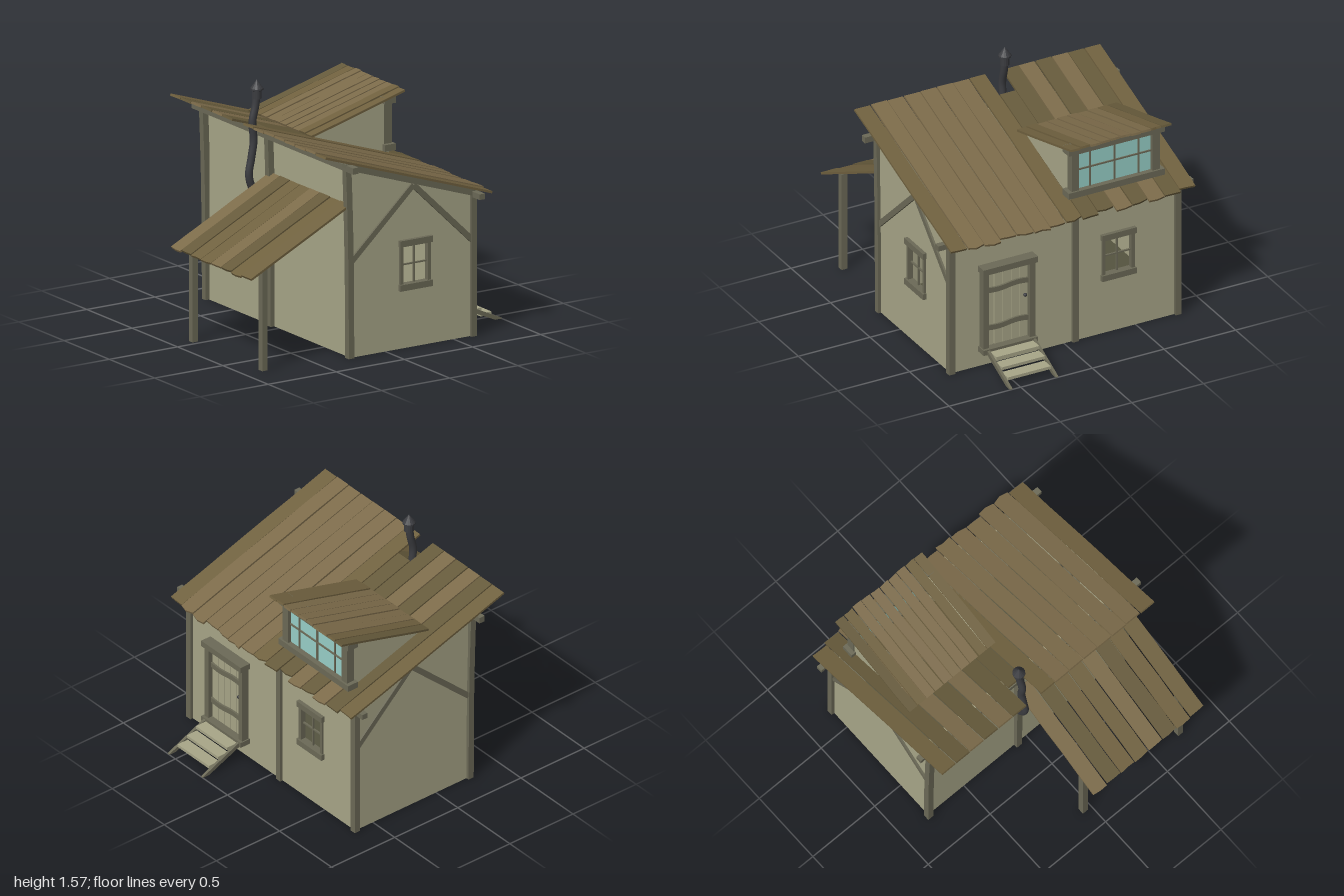
import * as THREE from 'three';

const mat = (color, flat = true) => new THREE.MeshStandardMaterial({ color, flatShading: flat, side: THREE.DoubleSide });
const WALL = mat(0xa8a688), WOOD = mat(0x6c6a57), DARK = mat(0x55543f), GLASS = mat(0x98d0c8);
const IRON = mat(0x3b3c40, false), IRON_FLAT = mat(0x3b3c40);
const PLANKS = [mat(0x7c6b4a), mat(0x665a3b), mat(0x70613f)];

// Small seeded number in -1..1
const noise = (n) => { const s = Math.sin(n * 127.1 + 11.7) * 43758.5453; return (s - Math.floor(s)) * 2 - 1; };

function add(parent, name, geo, material, x = 0, y = 0, z = 0) {
  const m = new THREE.Mesh(geo, material);
  m.name = name;
  m.position.set(x, y, z);
  parent.add(m);
  return m;
}
const box = (p, name, w, h, d, x, y, z, material = WOOD) => add(p, name, new THREE.BoxGeometry(w, h, d), material, x, y, z);

function group(parent, name, x = 0, y = 0, z = 0, ry = 0) {
  const g = new THREE.Group();
  g.name = name;
  g.position.set(x, y, z);
  g.rotation.y = ry;
  parent.add(g);
  return g;
}

// Move every vertex of a geometry by a rule
function warp(geo, rule) {
  const p = geo.attributes.position, v = new THREE.Vector3();
  for (let i = 0; i < p.count; i++) {
    v.fromBufferAttribute(p, i);
    rule(v);
    p.setXYZ(i, v.x, v.y, v.z);
  }
  geo.computeVertexNormals();
  return geo;
}

const points = (pts) => pts.map(([x, y]) => new THREE.Vector2(x, y));

// Straight timber between two points of the xy plane
function beam(p, name, x0, y0, x1, y1, t, d, z) {
  const m = box(p, name, Math.hypot(x1 - x0, y1 - y0), t, d, (x0 + x1) / 2, (y0 + y1) / 2, z);
  m.rotation.z = Math.atan2(y1 - y0, x1 - x0);
}

// Flat panel from outline points, with rectangular holes [x0, y0, x1, y1]; front face at local z = 0
function panel(p, name, pts, holes = [], depth = 0.03) {
  const s = new THREE.Shape(points(pts));
  for (const [a, b, c, d] of holes) s.holes.push(new THREE.Path(points([[a, b], [a, d], [c, d], [c, b]])));
  return add(p, name, new THREE.ExtrudeGeometry(s, { depth, bevelEnabled: false }).translate(0, 0, -depth), WALL);
}

// Sloping deck of uneven planks from (x0,y0) to (x1,y1), laid side by side along z
function plankRoof(parent, name, x0, y0, x1, y1, zStart, zEnd, n, { ragged, shortIndex = -1, shortStart = 0 }) {
  const g = group(parent, name, x0, y0, 0);
  g.rotation.z = Math.atan2(y1 - y0, x1 - x0);
  const len = Math.hypot(x1 - x0, y1 - y0), pitch = (zEnd - zStart) / n, w = Math.abs(pitch) - 0.007;
  for (let i = 0; i < n; i++) {
    const start = i === shortIndex ? shortStart : 0;
    const end = len - ragged * (0.5 + 0.5 * noise(i + n));
    const geo = warp(new THREE.BoxGeometry(end - start, 0.014, w, 5, 1, 2), (v) => {
      if (v.x > (end - start) / 2 - 0.001) v.x += noise(i * 7 + Math.round(v.z * 40)) * ragged * 0.3;
      if (Math.abs(v.z) > w * 0.4) v.z += noise(i * 3 + Math.round(v.x * 9)) * 0.002;
    });
    const color = PLANKS[Math.floor((noise(i * 5 + n) + 1) * 1.5) % 3];
    const m = add(g, 'plank', geo, color, (start + end) / 2, noise(i + 3) * 0.003, zStart + pitch * (i + 0.5));
    m.rotation.x = noise(i + 40) * 0.02;
  }
}

// Small framed window facing local +z
function smallWindow(parent, x, y, z, ry) {
  const g = group(parent, 'window', x, y, z, ry);
  box(g, 'lintel', 0.24, 0.04, 0.05, 0, 0.14, 0.01);
  box(g, 'sill', 0.24, 0.04, 0.05, 0, -0.14, 0.01);
  for (const s of [-1, 1]) box(g, 'jamb', 0.022, 0.25, 0.036, s * 0.102, 0, 0.005);
  box(g, 'mullion', 0.009, 0.25, 0.012, 0, 0, 0);
  box(g, 'glazingBar', 0.2, 0.009, 0.012, 0, 0, 0);
}

function buildDoor(parent) {
  const g = group(parent, 'door', 0.64, 0, 0.41, Math.PI / 2);
  for (let i = 0; i < 5; i++) box(g, 'doorPlank', 0.056, 0.52, 0.02, (i - 2) * 0.06, 0.4, 0.012, WALL);
  box(g, 'doorBacking', 0.3, 0.52, 0.008, 0, 0.4, 0.003, DARK);
  for (const s of [-1, 1]) box(g, 'doorPost', 0.038, 0.53, 0.05, s * 0.163, 0.4, 0.03);
  box(g, 'doorLintel', 0.38, 0.04, 0.075, 0, 0.68, 0.036);
  box(g, 'threshold', 0.38, 0.035, 0.075, 0, 0.123, 0.036);
  // Wavy cross bars
  for (const y of [0.27, 0.53]) {
    add(g, 'crossBar', warp(new THREE.BoxGeometry(0.29, 0.034, 0.014, 10, 1, 1), (v) => { v.y += 0.007 * Math.sin(v.x * 22); }), WOOD, 0, y, 0.028);
  }
  add(g, 'doorKnob', new THREE.SphereGeometry(0.012, 10, 8), IRON, 0.122, 0.43, 0.032);
}

function buildSteps(parent) {
  const g = group(parent, 'steps');
  const side = new THREE.Shape(points([[0.71, 0.135], [0.735, 0.125], [1, 0.005], [1, 0], [0.95, 0], [0.71, 0.105]]));
  for (const z of [0.245, 0.565]) {
    add(g, 'stringer', new THREE.ExtrudeGeometry(side, { depth: 0.018, bevelEnabled: false }), WOOD, 0, 0, z - 0.009);
  }
  for (let i = 0; i < 3; i++) box(g, 'tread', 0.08, 0.02, 0.3, 0.752 + i * 0.072, 0.113 - i * 0.036, 0.405, WALL);
}

function buildDormer(parent) {
  const g = group(parent, 'dormer');
  for (const z of [-0.07, -0.655]) {
    panel(g, 'dormerSide', [[0.02, 1.15], [0.6, 0.96], [0.6, 1.325], [0.02, 1.17]], [], 0.02).position.z = z;
  }
  const f = group(g, 'dormerWindow', 0.59, 0, -0.375, Math.PI / 2);
  box(f, 'dormerLintel', 0.67, 0.042, 0.08, 0, 1.305, 0);
  box(f, 'dormerSill', 0.67, 0.042, 0.08, 0, 1.005, 0);
  for (const s of [-1, 1]) box(f, 'dormerPost', 0.052, 0.27, 0.056, s * 0.282, 1.155, 0);
  box(f, 'glass', 0.52, 0.27, 0.008, 0, 1.155, 0, GLASS);
  for (const x of [-0.17, 0, 0.17]) box(f, 'mullion', 0.01, 0.27, 0.016, x, 1.155, 0.004);
  box(f, 'glazingBar', 0.52, 0.01, 0.016, 0, 1.16, 0.004);
  plankRoof(g, 'dormerRoof', 0, 1.172, 0.695, 1.36, -0.02, -0.725, 10, { ragged: 0.012 });
}

function buildChimney(parent) {
  const g = group(parent, 'chimney', 0, 0, -0.125);
  const path = [[-0.25, 0.815], [-0.3, 0.82], [-0.355, 0.86], [-0.392, 0.96], [-0.375, 1.07], [-0.358, 1.18], [-0.367, 1.3], [-0.345, 1.4], [-0.335, 1.49]];
  const curve = new THREE.CatmullRomCurve3(path.map(([x, y]) => new THREE.Vector3(x, y, 0)));
  add(g, 'stovePipe', new THREE.TubeGeometry(curve, 40, 0.024, 12), IRON);
  const cap = points([[0, 1.445], [0.03, 1.445], [0.03, 1.495], [0.04, 1.5], [0.04, 1.51], [0, 1.565]]);
  add(g, 'chimneyCap', new THREE.LatheGeometry(cap, 14), IRON_FLAT, -0.335, 0, 0);
}

export function createModel() {
  const model = new THREE.Group();
  model.name = 'cabin';
  const L = -0.255, R = 0.64, Z = 0.79, HL = 1.22, HR = 0.92;

  // Walls
  const walls = group(model, 'walls');
  const gable = [[L, 0], [R, 0], [R, HR], [L, HL]];
  panel(walls, 'frontWall', gable, [[0.115, 0.4, 0.315, 0.66]]).position.z = Z;
  panel(walls, 'backWall', gable).position.z = -Z + 0.03;
  const right = panel(walls, 'sideWall', [[-Z, 0], [Z, 0], [Z, HR], [-Z, HR]], [[0.275, 0.4, 0.475, 0.66]]);
  right.rotation.y = Math.PI / 2;
  right.position.x = R;
  box(walls, 'tallSideWall', 0.03, HL, 2 * Z, L + 0.015, HL / 2, 0, WALL);
  box(walls, 'floor', R - L - 0.02, 0.02, 2 * Z - 0.02, (L + R) / 2, 0.13, 0, DARK);

  // Upright posts, the tall ones bowing outward at the top
  const frame = group(model, 'frame');
  const tall = HL + 0.02;
  for (const z of [Z, -0.073, -Z]) {
    box(frame, 'shortPost', 0.04, HR, 0.042, R, HR / 2, z);
    const bowed = warp(new THREE.BoxGeometry(0.04, tall, 0.042, 1, 8, 1), (v) => {
      v.x -= 0.022 * Math.max(0, v.y / tall + 0.5) ** 2.5;
    });
    add(frame, 'tallPost', bowed, WOOD, -0.262, tall / 2, z);
  }
  // Long purlins, gable rafters and diagonal braces
  box(frame, 'lowPurlin', 0.04, 0.036, 1.78, 0.645, 0.905, 0);
  box(frame, 'highPurlin', 0.04, 0.04, 1.78, -0.283, 1.215, 0);
  for (const z of [Z, -Z]) {
    beam(frame, 'rafter', -0.28, 1.22, 0.645, 0.912, 0.042, 0.034, z);
    beam(frame, 'brace', -0.25, 0.615, 0.2, 1.03, 0.036, 0.026, z);
    beam(frame, 'brace', 0.2, 1.03, 0.63, 0.615, 0.036, 0.026, z);
  }

  smallWindow(model, 0.215, 0.53, Z - 0.01, 0);
  smallWindow(model, R - 0.01, 0.53, -0.375, Math.PI / 2);
  buildDoor(model);
  buildSteps(model);

  // Main roof, with one short plank beside the chimney
  plankRoof(model, 'mainRoof', -0.475, 1.317, 0.775, 0.9, 0.85, -0.87, 15, { ragged: 0.04, shortIndex: 8, shortStart: 0.185 });
  buildDormer(model);
  buildChimney(model);

  // Lean-to
  const lean = group(model, 'leanTo');
  plankRoof(lean, 'leanToRoof', -0.26, 0.97, -1, 0.605, 0.8, -0.09, 8, { ragged: 0.015 });
  for (const z of [0.72, -0.05]) box(lean, 'leanToPost', 0.04, 0.665, 0.04, -0.85, 0.3325, z);
  return model;
}
